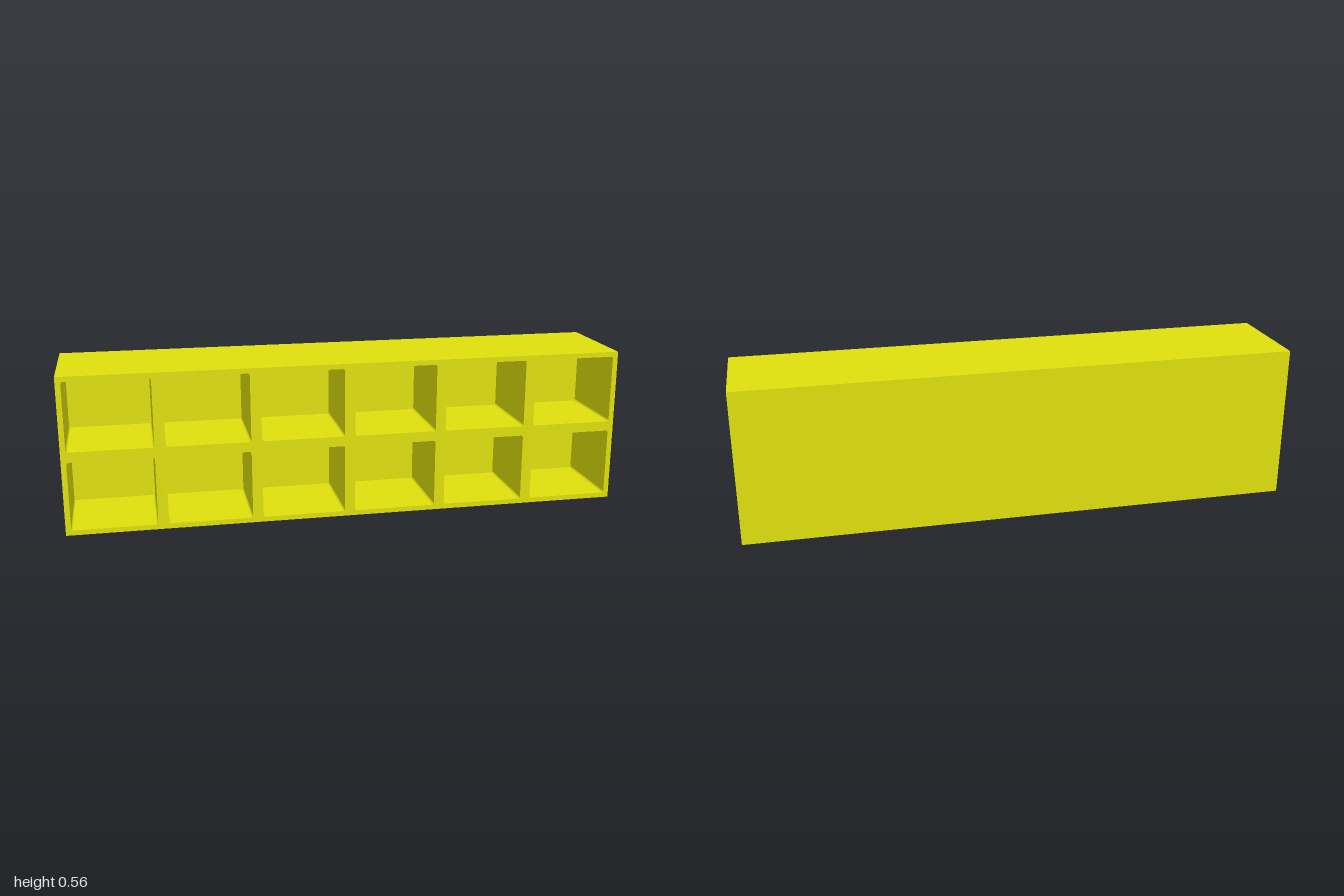
import * as THREE from 'three';

const W = 2, H = 0.562, D = 0.377;          // overall size
const COLS = 6, ROWS = 2;
const CELL_W = 0.296, CELL_H = 0.245, CELL_D = 0.31, RADIUS = 0.008;

// Rectangle with slightly rounded corners, centred on (cx, cy)
function roundedRect(cx, cy, w, h, r) {
  const x = w / 2 - r, y = h / 2 - r;
  const path = new THREE.Path();
  path.absarc(cx + x, cy + y, r, 0, Math.PI / 2);
  path.absarc(cx - x, cy + y, r, Math.PI / 2, Math.PI);
  path.absarc(cx - x, cy - y, r, Math.PI, Math.PI * 1.5);
  path.absarc(cx + x, cy - y, r, Math.PI * 1.5, Math.PI * 2);
  path.closePath();
  return path;
}

export function createModel() {
  const group = new THREE.Group();
  group.name = 'pigeonholeShelf';
  const material = new THREE.MeshStandardMaterial({ color: 0xdede0c });

  // Grid of compartments, open to the front
  const outline = new THREE.Shape([
    new THREE.Vector2(-W / 2, 0), new THREE.Vector2(W / 2, 0),
    new THREE.Vector2(W / 2, H), new THREE.Vector2(-W / 2, H),
  ]);
  const pitchX = W / COLS, pitchY = H / ROWS;
  for (let row = 0; row < ROWS; row++) {
    for (let col = 0; col < COLS; col++) {
      const cx = (col - (COLS - 1) / 2) * pitchX;
      const cy = (row + 0.5) * pitchY;
      outline.holes.push(roundedRect(cx, cy, CELL_W, CELL_H, RADIUS));
    }
  }
  const frame = new THREE.Mesh(
    new THREE.ExtrudeGeometry(outline, { depth: CELL_D, bevelEnabled: false, curveSegments: 4 }),
    material
  );
  frame.name = 'compartmentGrid';
  frame.position.z = D / 2 - CELL_D;
  group.add(frame);

  // Solid back closing the compartments
  const thickness = D - CELL_D;
  const back = new THREE.Mesh(new THREE.BoxGeometry(W, H, thickness), material);
  back.name = 'backPanel';
  back.position.set(0, H / 2, -D / 2 + thickness / 2);
  group.add(back);

  return group;
}
